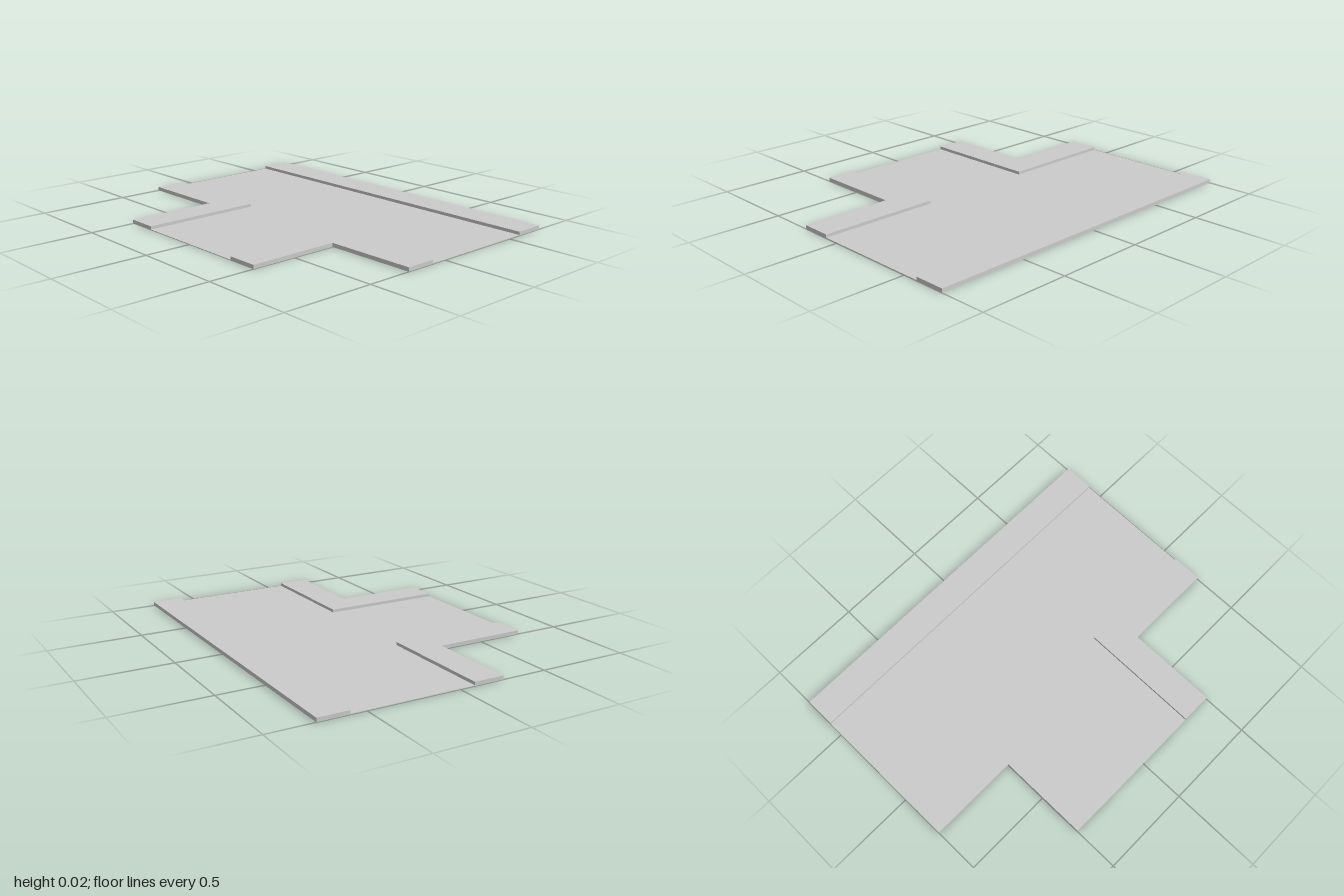
import * as THREE from 'three';

const ROAD_H = 0.004, KERB_H = 0.021;
const IN = 1 / 3, OUT = 0.5; // inner and outer edge of the side-street pavements

export function createModel() {
  const group = new THREE.Group();
  group.name = 'roadJunction';
  const material = new THREE.MeshStandardMaterial({ color: 0xcccccc });

  // Extrude an outline of [x, z] points upward from the ground
  const slab = (name, outline, height) => {
    const shape = new THREE.Shape(outline.map(([x, z]) => new THREE.Vector2(x, -z)));
    const geometry = new THREE.ExtrudeGeometry(shape, { depth: height, bevelEnabled: false });
    geometry.rotateX(-Math.PI / 2);
    const mesh = new THREE.Mesh(geometry, material);
    mesh.name = name;
    group.add(mesh);
  };

  // T-shaped road surface
  slab('roadSurface', [
    [-1, -0.583], [1, -0.583], [1, 0.083], [IN, 0.083],
    [IN, 0.75], [-IN, 0.75], [-IN, 0.083], [-1, 0.083],
  ], ROAD_H);

  // Straight pavement along the back
  slab('backPavement', [[-1, -0.75], [1, -0.75], [1, -0.583], [-1, -0.583]], KERB_H);

  // Mirrored L-shaped corner pavements
  for (const [name, s] of [['leftCornerPavement', 1], ['rightCornerPavement', -1]]) {
    slab(name, [
      [s, 0.083], [s * IN, 0.083], [s * IN, 0.75],
      [s * OUT, 0.75], [s * OUT, 0.25], [s, 0.25],
    ], KERB_H);
  }
  return group;
}
